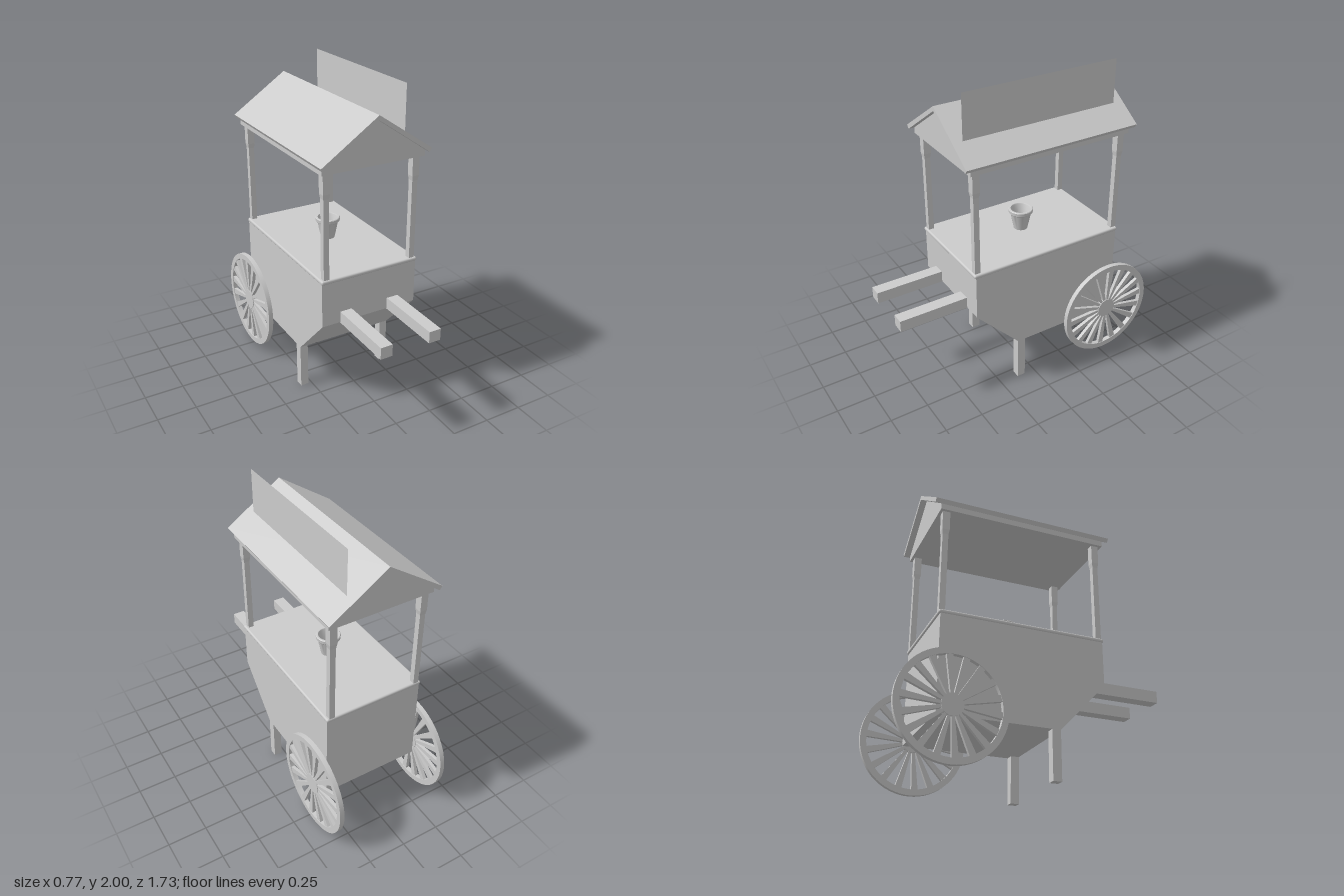
import * as THREE from 'three';
import { RoundedBoxGeometry } from 'three/addons/geometries/RoundedBoxGeometry.js';
import { toCreasedNormals } from 'three/addons/utils/BufferGeometryUtils.js';

const material = new THREE.MeshStandardMaterial({ color: 0xcccccc });
const thinMaterial = new THREE.MeshStandardMaterial({ color: 0xcccccc, side: THREE.DoubleSide });

function add(parent, name, geometry, x = 0, y = 0, z = 0, mat = material) {
  const mesh = new THREE.Mesh(geometry, mat);
  mesh.name = name;
  mesh.position.set(x, y, z);
  parent.add(mesh);
  return mesh;
}

// Box given by its limits on each axis
function addBox(parent, name, [x0, x1], [y0, y1], [z0, z1]) {
  return add(parent, name, new THREE.BoxGeometry(x1 - x0, y1 - y0, z1 - z0),
    (x0 + x1) / 2, (y0 + y1) / 2, (z0 + z1) / 2);
}

const polygon = (points) => new THREE.Shape(points.map(([x, y]) => new THREE.Vector2(x, y)));

// Extrusion centred on its own depth
function extrude(shape, depth, curveSegments = 12) {
  const geometry = new THREE.ExtrudeGeometry(shape, { depth, bevelEnabled: false, curveSegments });
  return geometry.translate(0, 0, -depth / 2);
}

function createWheel() {
  const wheel = new THREE.Group();
  const rim = new THREE.Shape().absarc(0, 0, 0.325, 0, Math.PI * 2);
  rim.holes.push(new THREE.Path().absarc(0, 0, 0.288, 0, Math.PI * 2, true));
  add(wheel, 'rim', toCreasedNormals(extrude(rim, 0.03, 32), 0.6));

  const hub = new THREE.CylinderGeometry(0.065, 0.065, 0.03, 32).rotateX(Math.PI / 2);
  add(wheel, 'hub', hub);

  // Spokes widen towards the rim
  const spoke = extrude(polygon([[0.05, -0.008], [0.295, -0.02], [0.295, 0.02], [0.05, 0.008]]), 0.022);
  const count = 18;
  for (let i = 0; i < count; i++) {
    add(wheel, 'spoke', spoke).rotation.z = ((i + 0.25) / count) * Math.PI * 2;
  }
  wheel.rotation.y = Math.PI / 2;
  return wheel;
}

export function createModel() {
  const cart = new THREE.Group();
  cart.name = 'vendorCart';

  // Body with a slanted lower front, profile drawn along -z
  const body = polygon([[-0.42, 0.89], [-0.42, 0.605], [-0.125, 0.295], [0.61, 0.295], [0.61, 0.89]]);
  add(cart, 'body', extrude(body, 0.65).rotateY(Math.PI / 2));
  add(cart, 'counter', new RoundedBoxGeometry(0.66, 0.026, 1.05, 3, 0.011), 0, 0.899, -0.095);

  for (const side of [-1, 1]) {
    // Push handles and front legs
    const span = (a, b) => (side > 0 ? [a, b] : [-b, -a]);
    addBox(cart, 'handle', span(0.125, 0.203), [0.602, 0.677], [0.38, 0.865]);
    addBox(cart, 'leg', span(0.273, 0.325), [0, 0.31], [0.072, 0.126]);

    const wheel = createWheel();
    wheel.name = 'wheel';
    wheel.position.set(side * 0.37, 0.335, -0.536);
    cart.add(wheel);

    // Roof posts with a thicker head above a short taper
    for (const z of [0.402, -0.598]) {
      const x = side * 0.295;
      const post = new THREE.Group();
      post.name = 'post';
      post.position.set(x, 0, z);
      cart.add(post);
      addBox(post, 'postShaft', [-0.018, 0.018], [0.905, 1.43], [-0.018, 0.018]);
      const taper = new THREE.CylinderGeometry(0.023 * Math.SQRT2, 0.018 * Math.SQRT2, 0.03, 4)
        .rotateY(Math.PI / 4).toNonIndexed();
      taper.computeVertexNormals();
      add(post, 'postTaper', taper, 0, 1.43, 0);
      addBox(post, 'postHead', [-0.023, 0.023], [1.445, 1.58], [-0.023, 0.023]);
    }
  }

  // Closed gable under the roof
  const gable = polygon([[-0.338, 1.568], [0.338, 1.568], [0.338, 1.604], [0, 1.838], [-0.338, 1.604]]);
  add(cart, 'gable', extrude(gable, 1.085), 0, 0, -0.096);

  // Pitched roof slab
  const roof = polygon([[0, 1.865], [-0.36, 1.623], [-0.345, 1.6], [0, 1.836], [0.345, 1.6], [0.36, 1.623]]);
  add(cart, 'roof', extrude(roof, 1.16), 0, 0, -0.098);

  // Thin sign board standing on the left slope
  add(cart, 'signBoard', new THREE.PlaneGeometry(1.03, 0.277).rotateY(Math.PI / 2),
    0.212, 1.8615, -0.095, thinMaterial);

  // Hollow flower pot on the counter
  const pot = [[0, 0], [0.044, 0], [0.067, 0.112], [0.073, 0.112], [0.077, 0.117], [0.078, 0.137],
    [0.074, 0.141], [0.064, 0.141], [0.06, 0.135], [0.04, 0.018], [0, 0.018]];
  const potGeometry = new THREE.LatheGeometry(pot.map(([r, y]) => new THREE.Vector2(r, y)), 32);
  add(cart, 'pot', toCreasedNormals(potGeometry, 0.6), 0, 0.911, -0.095, thinMaterial);

  return cart;
}
